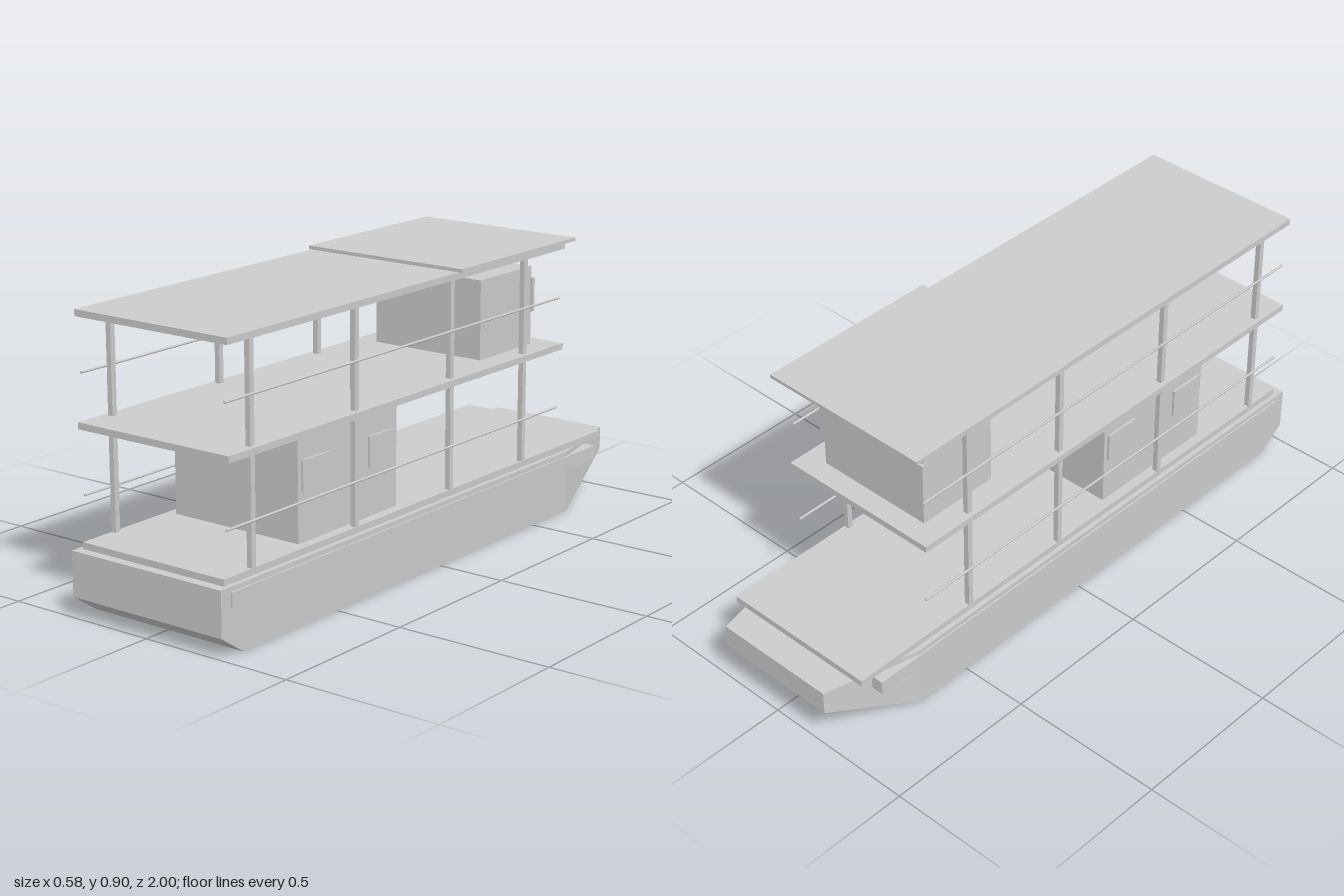
import * as THREE from 'three';

export function createModel() {
  const boat = new THREE.Group();
  boat.name = 'houseboat';
  const paint = new THREE.MeshStandardMaterial({ color: 0xcccccc });
  paint.name = 'light grey';

  function add(name, geometry) {
    const mesh = new THREE.Mesh(geometry, paint);
    mesh.name = name;
    boat.add(mesh);
    return mesh;
  }

  // Box given by its lower and upper limits on each axis
  function box(name, x0, x1, y0, y1, z0, z1) {
    const mesh = add(name, new THREE.BoxGeometry(x1 - x0, y1 - y0, z1 - z0));
    mesh.position.set((x0 + x1) / 2, (y0 + y1) / 2, (z0 + z1) / 2);
    return mesh;
  }

  // Hull: rectangular cross-sections [z, half width, keel height], stern to bow
  const stations = [[1, 0.277, 0.062], [0.91, 0.277, 0], [-0.69, 0.277, 0], [-1, 0.205, 0.125]];
  const sections = stations.map(([z, w, y]) =>
    [[-w, y, z], [w, y, z], [w, 0.2, z], [-w, 0.2, z]]);
  const points = [];
  const quad = (a, b, c, d) => points.push(...a, ...b, ...c, ...a, ...c, ...d);
  quad(...sections[0]);
  quad(...[...sections[3]].reverse());
  for (let s = 0; s < 3; s++) {
    for (let k = 0; k < 4; k++) {
      const n = (k + 1) % 4;
      quad(sections[s][k], sections[s + 1][k], sections[s + 1][n], sections[s][n]);
    }
  }
  const hull = new THREE.BufferGeometry();
  hull.setAttribute('position', new THREE.Float32BufferAttribute(points, 3));
  hull.computeVertexNormals();
  add('hull', hull);

  // Decks, roof and rear canopy
  box('mainDeck', -0.262, 0.262, 0.2, 0.22, -0.905, 0.97);
  box('upperDeck', -0.277, 0.277, 0.545, 0.565, -0.65, 0.96);
  box('roof', -0.277, 0.277, 0.868, 0.888, -0.65, 0.96);
  box('canopy', -0.29, 0.29, 0.888, 0.899, -0.69, -0.08);

  // Cabins and the band round the upper cabin's end
  box('lowerCabin', -0.23, 0.23, 0.22, 0.525, 0.16, 0.615);
  box('upperCabin', -0.2, 0.2, 0.565, 0.815, -0.58, -0.305);
  box('windscreen', -0.208, 0.208, 0.67, 0.778, -0.588, -0.576);

  for (const side of [-1, 1]) {
    const label = side > 0 ? 'left' : 'right';
    const sideBox = (name, x0, x1, ...rest) =>
      box(label + name, Math.min(side * x0, side * x1), Math.max(side * x0, side * x1), ...rest);

    // Rubbing strake along the hull
    sideBox('Fender', 0.24, 0.282, 0.14, 0.185, -0.845, 0.96);

    // Cabin windows
    for (const z of [0.235, 0.54]) {
      sideBox('Window', 0.229, 0.237, 0.37, 0.463, z - 0.06, z + 0.06);
    }

    // Posts and handrails on both levels
    for (const [y0, y1, railY] of [[0.22, 0.545, 0.355], [0.565, 0.868, 0.71]]) {
      for (const z of [0.845, 0.388, -0.073, -0.458]) {
        sideBox('Post', 0.245, 0.262, y0, y1, z - 0.009, z + 0.009);
      }
      const rail = add(label + 'Handrail', new THREE.CylinderGeometry(0.004, 0.004, 1.6, 8));
      rail.rotation.x = Math.PI / 2;
      rail.position.set(side * 0.262, railY, 0.157);
    }
  }
  return boat;
}
